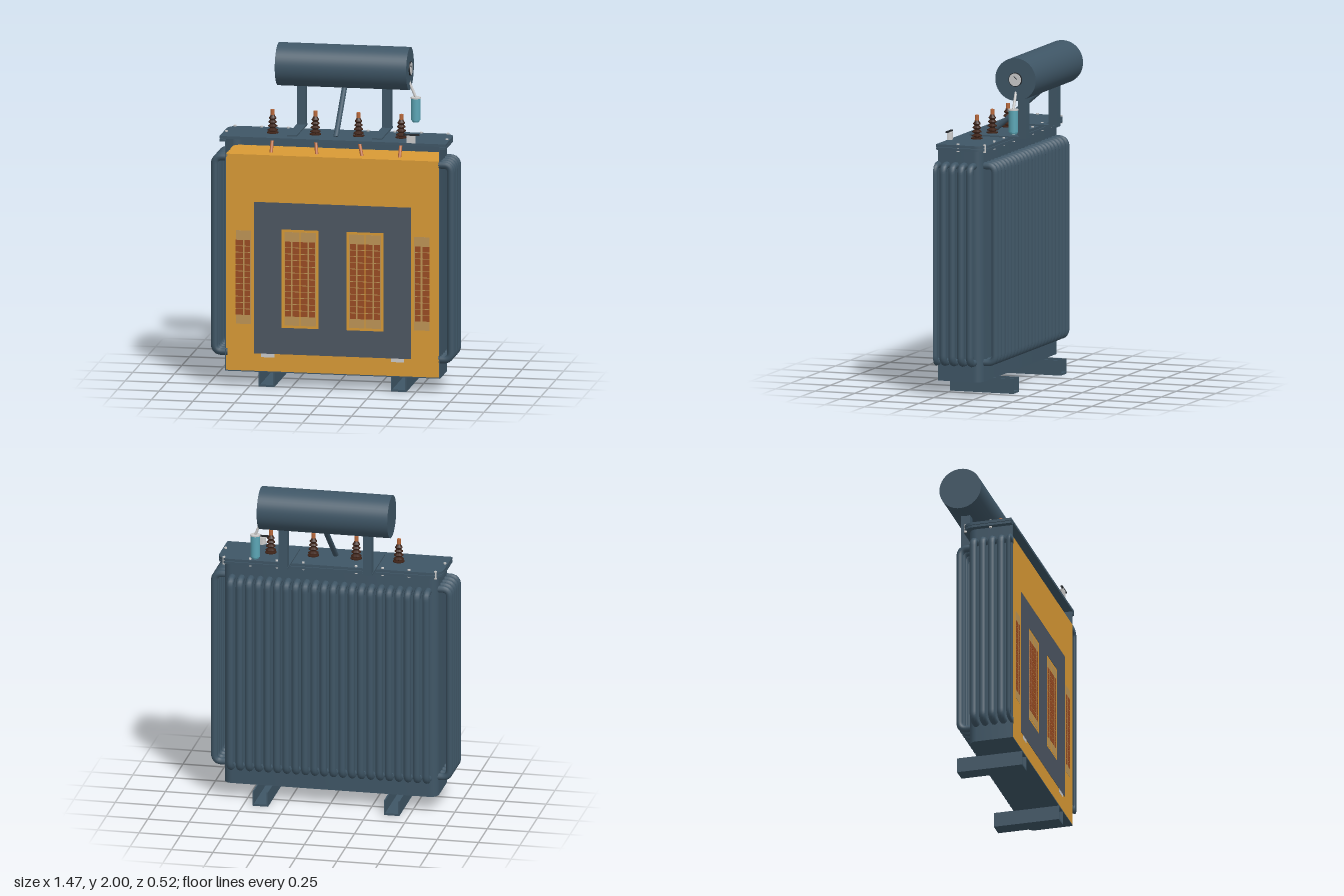
import * as THREE from 'three';
import { toCreasedNormals } from 'three/addons/utils/BufferGeometryUtils.js';

const CUT = 0.262; // plane where the front half is sliced away
const mat = (color) => new THREE.MeshStandardMaterial({ color });
const M = {
  steel: mat(0x3f5666), oil: mat(0xd99a35), core: mat(0x4d5662), coil: mat(0x9a4b22),
  paper: mat(0xbd9455), copper: mat(0xb8683a), shed: mat(0x3c2217), glass: mat(0x5ba5b5),
  grey: mat(0xcccccc), dark: mat(0x25292d),
};

// Plan outline (x, -z) with rounded rear corners, running from front right to front left
function plan(w, back, r) {
  const pts = [new THREE.Vector2(w, -CUT)];
  for (const s of [1, -1]) {
    for (let i = 0; i <= 6; i++) {
      const a = (s > 0 ? i : 6 - i) / 6 * Math.PI / 2;
      pts.push(new THREE.Vector2(s * (w - r + r * Math.cos(a)), -back - r + r * Math.sin(a)));
    }
  }
  pts.push(new THREE.Vector2(-w, -CUT));
  return pts;
}

// Extrude a plan shape upward from y0 to y1
function rise(shape, y0, y1) {
  const g = new THREE.ExtrudeGeometry(shape, { depth: y1 - y0, bevelEnabled: false, curveSegments: 14 });
  g.rotateX(-Math.PI / 2).translate(0, y0, 0);
  return toCreasedNormals(g, 0.6);
}

// Half ring lying behind the cut plane
function halfRing(ri, ro) {
  const s = new THREE.Shape();
  s.absarc(0, 0, ro, 0, Math.PI, false);
  s.absarc(0, 0, ri, Math.PI, 0, true);
  s.closePath();
  return s;
}

export function createModel() {
  const root = new THREE.Group();
  const add = (name, geo, m, x = 0, y = 0, z = 0, parent = root) => {
    const mesh = new THREE.Mesh(geo, m);
    mesh.name = name;
    mesh.position.set(x, y, z);
    parent.add(mesh);
    return mesh;
  };
  const group = (name) => {
    const g = new THREE.Group();
    g.name = name;
    root.add(g);
    return g;
  };
  const box = (name, m, x0, x1, y0, y1, z0, z1, parent) =>
    add(name, new THREE.BoxGeometry(x1 - x0, y1 - y0, z1 - z0), m,
      (x0 + x1) / 2, (y0 + y1) / 2, (z0 + z1) / 2, parent);
  const rod = (name, m, a, b, r, parent) => {
    const p = new THREE.Vector3(...a), q = new THREE.Vector3(...b);
    const mesh = add(name, new THREE.CylinderGeometry(r, r, p.distanceTo(q), 16), m, 0, 0, 0, parent);
    mesh.position.copy(p).add(q).multiplyScalar(0.5);
    mesh.quaternion.setFromUnitVectors(new THREE.Vector3(0, 1, 0), q.sub(p).normalize());
    return mesh;
  };

  // Tank: open-fronted wall, floor, flange and lid
  const tank = group('tank');
  const wall = new THREE.Shape([...plan(0.647, -0.012, 0.05), ...plan(0.641, -0.006, 0.045).reverse()]);
  add('tankWall', rise(wall, 0.09, 1.475), M.steel, 0, 0, 0, tank);
  add('tankFloor', rise(new THREE.Shape(plan(0.647, -0.012, 0.05)), 0.088, 0.094), M.steel, 0, 0, 0, tank);
  const rim = new THREE.Shape([...plan(0.68, -0.047, 0.075), ...plan(0.641, -0.006, 0.045).reverse()]);
  add('flange', rise(rim, 1.472, 1.486), M.steel, 0, 0, 0, tank);
  add('lid', rise(new THREE.Shape(plan(0.68, -0.047, 0.075)), 1.489, 1.505), M.steel, 0, 0, 0, tank);
  for (const s of [1, -1]) {
    for (const [x, z] of [[0.64, -0.03], [0.48, -0.03], [0.663, 0.13], [0.16, -0.03], [0.32, -0.03]]) {
      add('lidBolt', new THREE.CylinderGeometry(0.009, 0.009, 0.05, 6), M.grey, s * x, 1.488, z, tank);
    }
  }

  // Oil filling
  add('oil', rise(new THREE.Shape(plan(0.641, -0.006, 0.045)), 0.094, 1.4), M.oil);

  // Laminated core with two windows
  const rect = (Path, x0, x1, y0, y1) => new Path([[x0, y0], [x1, y0], [x1, y1], [x0, y1]]
    .map((p) => new THREE.Vector2(...p)));
  const coreShape = rect(THREE.Shape, -0.472, 0.472, 0.2, 1.115);
  coreShape.holes.push(rect(THREE.Path, -0.307, -0.083, 0.36, 0.955), rect(THREE.Path, 0.083, 0.307, 0.36, 0.955));
  add('core', new THREE.ExtrudeGeometry(coreShape, { depth: 0.09, bevelEnabled: false }), M.core, 0, 0, CUT - 0.088);
  for (const s of [1, -1]) {
    box('coreSupport', M.grey, s * 0.39 - 0.04, s * 0.39 + 0.04, 0.178, 0.2, 0.17, CUT + 0.001);
  }

  // Windings: insulation sleeves and stacked discs around each limb
  const windings = group('windings');
  const sleeve = rise(halfRing(0.1, 0.192), 0.375, 0.94);
  const discs = [[0.105, 0.14], [0.15, 0.192]].map(([a, b]) => rise(halfRing(a, b), 0, 0.034));
  for (const x of [-0.39, 0, 0.39]) {
    add('insulation', sleeve, M.paper, x, 0, CUT + 0.001, windings);
    for (let i = 0; i < 12; i++) {
      for (const d of discs) add('windingDisc', d, M.coil, x, 0.43 + i * 0.038, CUT + 0.002, windings);
    }
  }

  // Cooling tubes: one bent loop, repeated along the back and both sides
  const tubes = group('coolingTubes');
  const V = (o, y) => new THREE.Vector3(0, y, -o);
  const path = new THREE.CurvePath();
  const [top, low, out, b] = [1.379, 0.203, 0.068, 0.045];
  path.add(new THREE.LineCurve3(V(-0.01, top), V(out - b, top)));
  path.add(new THREE.QuadraticBezierCurve3(V(out - b, top), V(out, top), V(out, top - b)));
  path.add(new THREE.LineCurve3(V(out, top - b), V(out, low + b)));
  path.add(new THREE.QuadraticBezierCurve3(V(out, low + b), V(out, low), V(out - b, low)));
  path.add(new THREE.LineCurve3(V(out - b, low), V(-0.01, low)));
  // Sample each piece evenly so the bends stay round
  const pts = path.curves.flatMap((c, i) => c.getPoints(i % 2 ? 6 : 1).slice(i ? 1 : 0));
  const smooth = new THREE.CurvePath();
  for (let i = 1; i < pts.length; i++) smooth.add(new THREE.LineCurve3(pts[i - 1], pts[i]));
  const tubeGeo = new THREE.TubeGeometry(smooth, 110, 0.0215, 10, false);
  for (let i = 0; i < 22; i++) add('backTube', tubeGeo, M.steel, -0.592 + i * 0.0564, 0, -0.01, tubes);
  for (const s of [1, -1]) {
    for (let i = 0; i < 5; i++) {
      const g = tubeGeo.clone().rotateY(-s * Math.PI / 2).translate(s * 0.643, 0, 0.038 + i * 0.056);
      const p = g.attributes.position;
      for (let k = 0; k < p.count; k++) p.setZ(k, Math.min(p.getZ(k), CUT)); // slice at the cut plane
      add('sideTube', g, M.steel, 0, 0, 0, tubes);
    }
  }

  // Channel feet
  for (const s of [1, -1]) {
    const foot = group('foot');
    const x = s * 0.397;
    box('footBase', M.steel, x - 0.047, x + 0.047, 0, 0.012, -0.138, CUT, foot);
    for (const t of [1, -1]) box('footWall', M.steel, x + t * 0.043 - 0.004, x + t * 0.043 + 0.004, 0, 0.09, -0.138, CUT, foot);
  }

  // Expansion drum with its brackets, pipe and dial
  const drum = group('expansionDrum');
  const barrel = new THREE.CylinderGeometry(0.128, 0.128, 0.79, 48).rotateZ(Math.PI / 2);
  add('drumBarrel', barrel, M.steel, -0.002, 1.872, -0.132, drum);
  for (const s of [1, -1]) {
    const x = s * 0.256;
    box('bracketFoot', M.steel, x - 0.029, x + 0.029, 1.503, 1.514, -0.16, 0.2, drum);
    box('bracketPost', M.steel, x - 0.026, x + 0.026, 1.51, 1.78, -0.16, -0.105, drum);
  }
  rod('drumPipe', M.steel, [0, 1.5, 0.155], [0, 1.77, -0.16], 0.016, drum);
  const disc = (r, t) => new THREE.CylinderGeometry(r, r, t, 32).rotateZ(Math.PI / 2);
  add('dialRim', disc(0.042, 0.01), M.dark, 0.396, 1.872, -0.132, drum);
  add('dialFace', disc(0.038, 0.01), M.grey, 0.3975, 1.872, -0.132, drum);
  const needle = box('dialNeedle', M.dark, 0.402, 0.404, 1.87, 1.9, -0.134, -0.131, drum);
  needle.rotation.x = 0.8;

  // Breather hanging from the drum end
  const breather = group('breather');
  rod('breatherPipe', M.grey, [0.385, 1.8, -0.132], [0.428, 1.7, -0.132], 0.008, breather);
  add('breatherCap', new THREE.CylinderGeometry(0.03, 0.03, 0.008, 24), M.grey, 0.428, 1.697, -0.132, breather);
  add('breatherJar', new THREE.CylinderGeometry(0.028, 0.028, 0.13, 24), M.glass, 0.428, 1.628, -0.132, breather);
  add('breatherBase', new THREE.CylinderGeometry(0.024, 0.02, 0.012, 24), M.glass, 0.428, 1.557, -0.132, breather);

  // Sliced filler neck at the cut edge
  const halfCyl = (r, h) => rise(halfRing(0.001, r), 0, h);
  add('fillerNeck', halfCyl(0.026, 0.045), M.grey, 0.472, 1.505, CUT);
  box('fillerCap', M.dark, 0.424, 0.52, 1.549, 1.559, CUT - 0.01, CUT);

  // Bushings with ribbed insulators, copper terminals and inner leads
  const profile = [[0, 1.5], [0.034, 1.5], [0.034, 1.51]];
  for (let i = 0; i < 4; i++) {
    const y = 1.515 + i * 0.024, r = 0.031 - i * 0.003;
    profile.push([0.015, y], [r, y + 0.006], [r, y + 0.01], [0.015, y + 0.02]);
  }
  profile.push([0.012, 1.615], [0, 1.615]);
  const insulator = toCreasedNormals(
    new THREE.LatheGeometry(profile.map((p) => new THREE.Vector2(...p)), 24), 0.6);
  [[-0.387, -0.385], [-0.13, -0.11], [0.129, 0.163], [0.386, 0.387]].forEach(([x, leadX]) => {
    const bushing = group('bushing');
    add('insulator', insulator, M.shed, x, 0, 0.115, bushing);
    rod('terminal', M.copper, [x, 1.6, 0.115], [x, 1.647, 0.115], 0.012, bushing);
    rod('lead', M.copper, [x, 1.495, 0.115], [leadX, 1.39, 0.18], 0.01, bushing);
  });
  return root;
}
